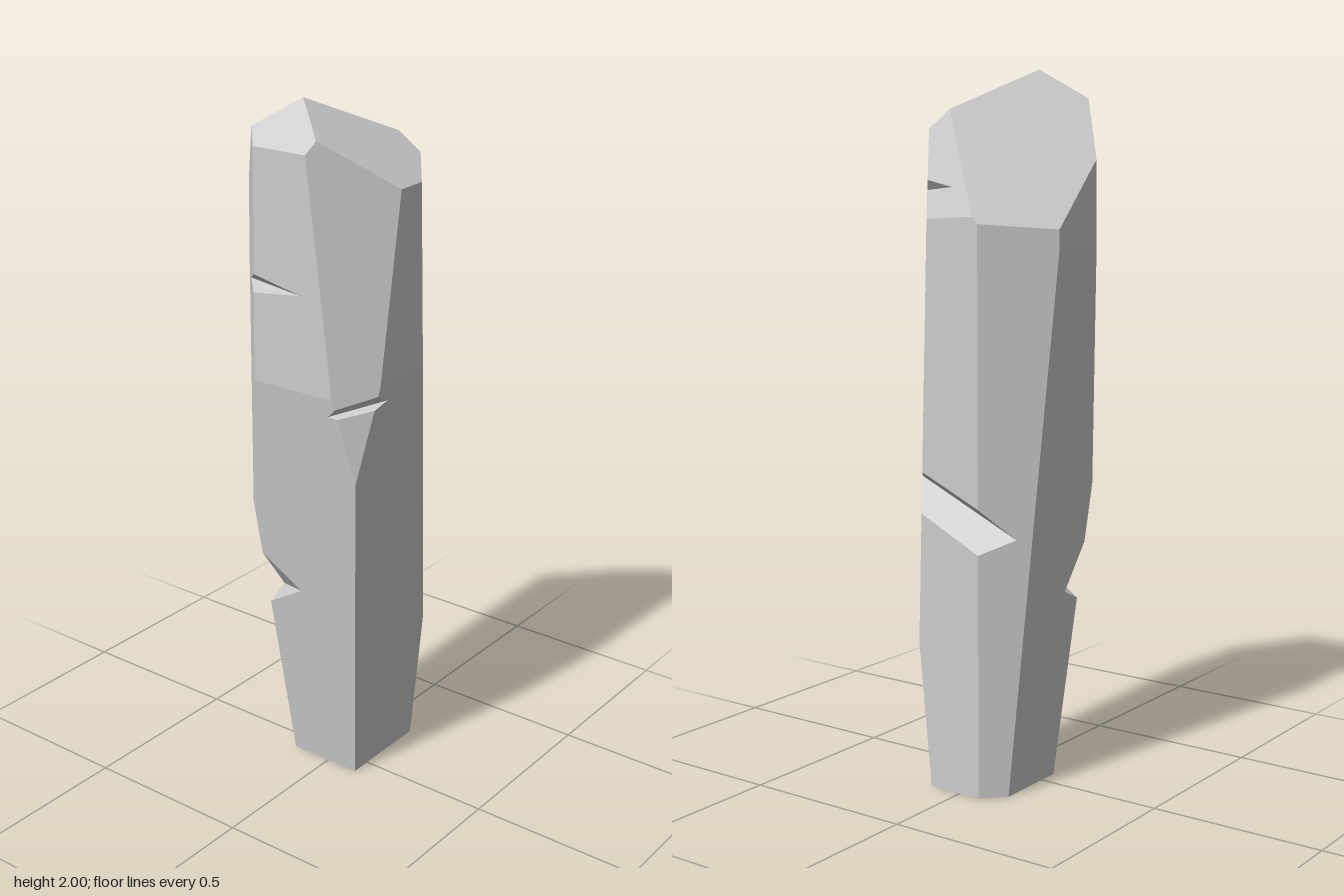
import * as THREE from 'three';

const V = (x, y, z) => new THREE.Vector3(x, y, z);

// A half-space: the solid lies where n.p <= c.
const half = (x, y, z, c) => {
  const n = V(x, y, z), l = n.length();
  return { n: n.divideScalar(l), c: c / l };
};
// Sloping cap through (x0, y0, z0), rising by a along x and by b along z.
const cap = (x0, y0, z0, a, b) => half(-a, 1, -b, y0 - a * x0 - b * z0);
// Plane through three points, with the fourth point on its inner side.
function through(p, q, r, inner) {
  const n = q.clone().sub(p).cross(r.clone().sub(p)).normalize();
  if (n.dot(inner) > n.dot(p)) n.negate();
  return { n, c: n.dot(p) };
}

// Cut a convex polygon by a plane into its inner and outer part.
function split(poly, { n, c }) {
  const inside = [], outside = [];
  poly.forEach((a, i) => {
    const b = poly[(i + 1) % poly.length];
    const da = n.dot(a) - c, db = n.dot(b) - c;
    if (da <= 1e-7) inside.push(a);
    if (da >= -1e-7) outside.push(a);
    if ((da < -1e-7 && db > 1e-7) || (da > 1e-7 && db < -1e-7)) {
      const m = a.clone().lerp(b, da / (da - db));
      inside.push(m);
      outside.push(m);
    }
  });
  return [inside, outside].map((p) => (p.length > 2 ? p : []));
}

// The polygon of one plane that lies within all the others.
function face(plane, others) {
  const { n, c } = plane;
  const u = V(n.y, n.z, n.x).cross(n).normalize();
  const w = n.clone().cross(u);
  let poly = [[-1, -1], [1, -1], [1, 1], [-1, 1]].map(([s, t]) =>
    n.clone().multiplyScalar(c).addScaledVector(u, s * 5).addScaledVector(w, t * 5));
  for (const o of others) if (o !== plane) poly = split(poly, o)[0];
  return poly;
}

// Flat-shaded geometry from convex polygons.
function toGeometry(polys) {
  const pos = [];
  for (const p of polys)
    for (let i = 1; i < p.length - 1; i++)
      for (const v of [p[0], p[i], p[i + 1]]) pos.push(v.x, v.y, v.z);
  const g = new THREE.BufferGeometry();
  g.setAttribute('position', new THREE.Float32BufferAttribute(pos, 3));
  g.computeVertexNormals();
  return g;
}

export function createModel() {
  const R = 0.222;
  const body = [
    // upright sides and base
    half(1, 0, 0, R), half(-1, 0, 0, R), half(0, 0, 1, R), half(0, 0, -1, R), half(0, -1, 0, 0),
    // lower taper: left, right, front
    half(1, -0.0968, 0, 0.1), half(-1, -0.064, 0, 0.125), half(0, -0.131, 1, 0.06),
    // worn corners
    half(0.17, 0.022, 0.135, 0.0812), half(-1, 0.015, 0.98, 0.359),
    half(1, 0.0306, -0.747, 0.319), half(-1, 0, -1, 0.2875),
    // broken top
    cap(-0.02, 2, 0.13, 1.13, 1.03), cap(-0.02, 2, 0.13, -0.927, -0.024),
    cap(-0.02, 2, 0.13, 0, -1.33), cap(0.105, 1.89, -0.115, -0.06, 2.75),
  ];

  // Wedge notches: both ends of the deep line, then a point on the upper and the lower cut.
  const notches = [
    [V(0.04, 1.505, 0.222), V(-0.18, 1.5, 0.16), V(-0.115, 1.535, 0.222), V(-0.12, 1.485, 0.222)],
    [V(-0.035, 0.59, 0.138), V(-0.163, 0.545, 0.06), V(-0.167, 0.675, 0.148), V(-0.158, 0.515, 0.127)],
    [V(0.12, 1.185, 0.22), V(0.222, 1.215, 0.07), V(0.185, 1.225, 0.17), V(0.21, 1.185, 0.2)],
    [V(0.176, 0.875, -0.155), V(-0.14, 0.73, -0.147), V(0.14, 0.91, -0.225), V(-0.06, 0.69, -0.225)],
    [V(0.168, 1.645, -0.135), V(0.045, 1.68, -0.19), V(0.12, 1.7, -0.187), V(0.12, 1.675, -0.2)],
  ].map(([p, q, t, b]) => [through(p, q, t, b), through(p, q, b, t)]);

  // Body faces with the notches cut away
  let shell = body.map((pl) => face(pl, body));
  for (const notch of notches) {
    shell = shell.flatMap((poly) => {
      const kept = [];
      let rest = poly;
      for (const pl of notch) {
        const [i, o] = split(rest, pl);
        kept.push(o);
        rest = i;
      }
      return kept;
    });
  }
  // Inner faces of the notches, turned to look out of the cut
  const cuts = notches.flatMap((nt) => nt.map((pl) => face(pl, [...nt, ...body]).reverse()));

  const material = new THREE.MeshStandardMaterial({ color: 0xcccccc, flatShading: true });
  const group = new THREE.Group();
  group.name = 'standingStone';
  for (const [name, polys] of [['stoneBody', shell], ['notchCuts', cuts]]) {
    const mesh = new THREE.Mesh(toGeometry(polys), material);
    mesh.name = name;
    group.add(mesh);
  }
  return group;
}
